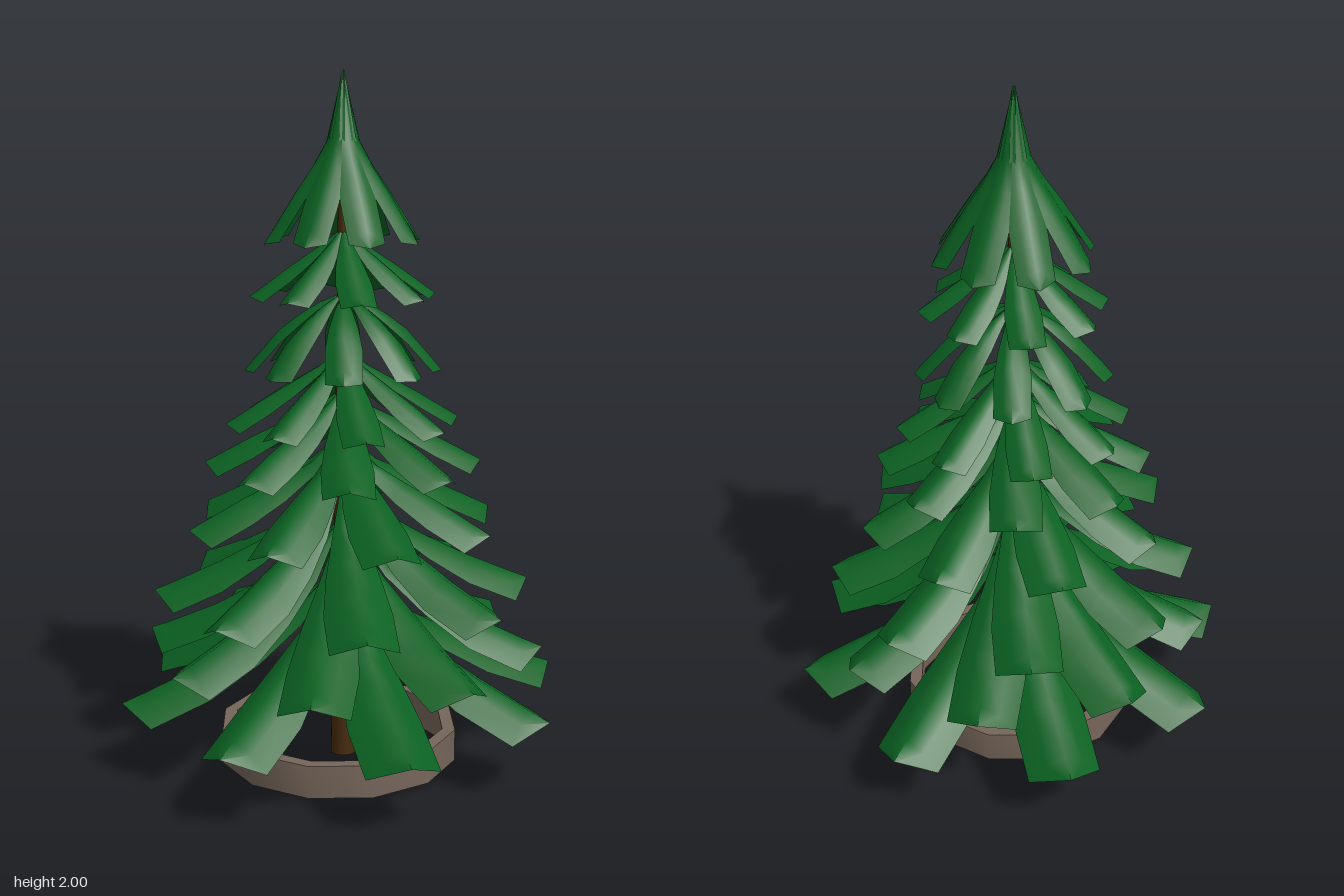
import * as THREE from 'three';
import { toCreasedNormals } from 'three/addons/utils/BufferGeometryUtils.js';

const green = new THREE.MeshStandardMaterial({ color: 0x0b6122, side: THREE.DoubleSide });
green.name = 'needle green';
const brown = new THREE.MeshStandardMaterial({ color: 0x452b0c });
brown.name = 'trunk brown';
const taupe = new THREE.MeshStandardMaterial({ color: 0x76665a });
taupe.name = 'stand taupe';

// Each tier: turn in degrees, half width of a bough, ridge [radius, height] from trunk to tip
const tiers = [
  { turn: -1, width: 0.108, ridge: [[0.02, 0.58], [0.14, 0.46], [0.42, 0.315], [0.66, 0.22]] },
  { turn: 20, width: 0.103, ridge: [[0.02, 0.71], [0.13, 0.6], [0.38, 0.445], [0.585, 0.36]] },
  { turn: -10, width: 0.098, ridge: [[0.02, 0.84], [0.13, 0.73], [0.36, 0.605], [0.552, 0.525]] },
  { turn: 2, width: 0.087, ridge: [[0.015, 0.97], [0.1, 0.895], [0.3, 0.805], [0.46, 0.725]] },
  { turn: -14, width: 0.075, ridge: [[0.012, 1.1], [0.08, 1.055], [0.26, 0.97], [0.4, 0.895]] },
  { turn: -6, width: 0.06, ridge: [[0.012, 1.22], [0.07, 1.175], [0.22, 1.09], [0.34, 1.015]] },
  { turn: -16, width: 0.053, ridge: [[0.01, 1.38], [0.07, 1.355], [0.18, 1.28], [0.283, 1.16]] },
  { turn: -6, width: 0.052, ridge: [[0.01, 1.56], [0.055, 1.525], [0.16, 1.455], [0.268, 1.377]] },
  { turn: 2, width: 0.054, ridge: [[0, 2], [0.04, 1.82], [0.13, 1.68], [0.232, 1.525]] },
];

// Cross-sections along every bough: position on the ridge, share of the full width
const sections = [[0, 0.08], [1 / 3, 0.48], [0.5, 0.78], [2 / 3, 0.98], [0.88, 0.97], [1, 0]];
const COLS = 5;

// One drooping bough: an arched sheet ending in a point
function boughGeometry(width, ridge) {
  const curve = new THREE.SplineCurve(ridge.map(([r, y]) => new THREE.Vector2(r, y)));
  const pos = [], index = [];
  for (const [along, share] of sections) {
    const p = curve.getPoint(along), w = width * share;
    for (let j = 0; j < COLS; j++) {
      const t = (2 * j) / (COLS - 1) - 1;
      pos.push(p.x, p.y - 0.68 * w * Math.abs(t) ** 1.5, w * t);
    }
  }
  for (let i = 0; i < sections.length - 1; i++)
    for (let j = 0; j < COLS - 1; j++) {
      const a = i * COLS + j, c = a + COLS;
      index.push(a, a + 1, c, a + 1, c + 1, c);
    }
  const g = new THREE.BufferGeometry();
  g.setAttribute('position', new THREE.Float32BufferAttribute(pos, 3));
  g.setIndex(index);
  g.computeVertexNormals();
  return g;
}

export function createModel() {
  const tree = new THREE.Group();
  tree.name = 'tree';

  // Eight boughs around each tier
  tiers.forEach(({ turn, width, ridge }, n) => {
    const tier = new THREE.Group();
    tier.name = n === tiers.length - 1 ? 'crown' : `boughTier${n + 1}`;
    const geometry = boughGeometry(width, ridge);
    for (let k = 0; k < 8; k++) {
      const bough = new THREE.Mesh(geometry, green);
      bough.name = 'bough';
      bough.rotation.y = THREE.MathUtils.degToRad(turn + k * 45);
      tier.add(bough);
    }
    tree.add(tier);
  });

  // Tapered trunk
  const trunk = new THREE.Mesh(new THREE.CylinderGeometry(0.014, 0.038, 1.72, 12), brown);
  trunk.name = 'trunk';
  trunk.position.y = 0.86;
  tree.add(trunk);

  // Ring stand with a slim section, set slightly off centre
  const profile = [[0.353, 0.01], [0.353, 0.105], [0.315, 0.105], [0.315, 0.01], [0.353, 0.01]]
    .map(([r, y]) => new THREE.Vector2(r, y));
  const ring = new THREE.Mesh(toCreasedNormals(new THREE.LatheGeometry(profile, 12), 0.6), taupe);
  ring.name = 'ringStand';
  ring.position.set(-0.018, 0, 0.008);
  tree.add(ring);

  return tree;
}
